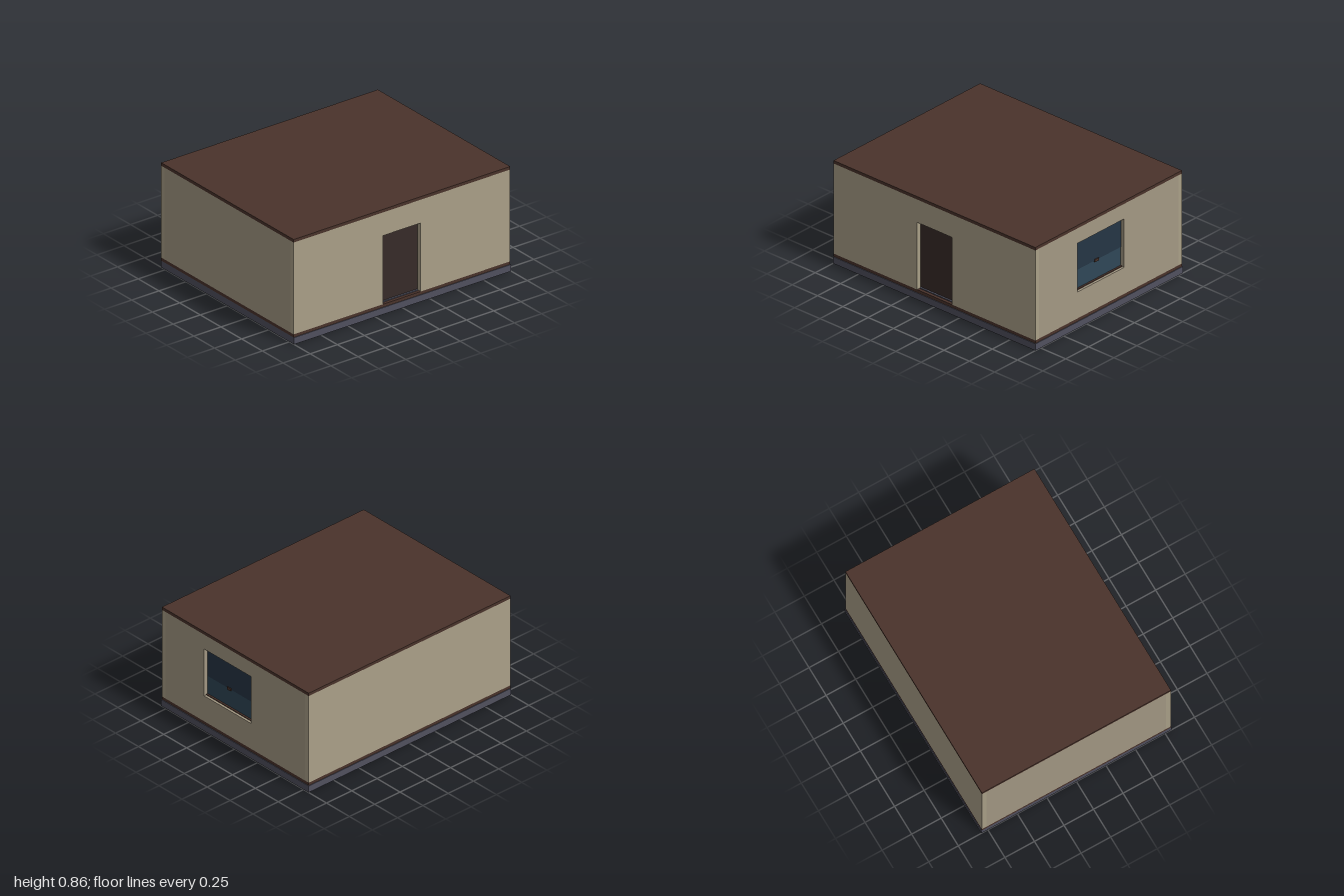
import * as THREE from 'three';

const mat = (color) => new THREE.MeshStandardMaterial({ color });
const wallMat = mat(0xaaa088), sideMat = mat(0xa39883), brownMat = mat(0x4a332b);
const baseMat = mat(0x50505e), doorMat = mat(0x372b28);
const glassTop = mat(0x253545), glassLow = mat(0x2f4757);

const X0 = -1, X1 = 0.995, Z = 0.8, T = 0.04, Y0 = 0.08, Y1 = 0.83;

export function createModel() {
  const model = new THREE.Group();
  const add = (name, geo, m) => {
    const mesh = new THREE.Mesh(geo, m);
    mesh.name = name;
    model.add(mesh);
    return mesh;
  };
  // Box given by its low and high corners
  const box = (name, m, [a, b, c], [d, e, f]) =>
    add(name, new THREE.BoxGeometry(d - a, e - b, f - c), m)
      .position.set((a + d) / 2, (b + e) / 2, (c + f) / 2);
  const rect = (a, b, c, d, Type = THREE.Shape) =>
    new Type([[a, b], [c, b], [c, d], [a, d]].map((p) => new THREE.Vector2(...p)));
  const panel = (shape) => new THREE.ExtrudeGeometry(shape, { depth: T, bevelEnabled: false });

  // Foundation, skirting course and flat roof
  box('foundation', baseMat, [-1, 0, -0.805], [1, 0.055, 0.805]);
  box('floorSlab', brownMat, [X0, 0.055, -Z], [X1, Y0, Z]);
  box('roof', brownMat, [X0, Y1, -Z], [X1, 0.855, Z]);

  // Front wall with the doorway cut out of its lower edge
  const front = new THREE.Shape([
    [X0, Y0], [-0.175, Y0], [-0.175, 0.64], [0.17, 0.64],
    [0.17, Y0], [X1, Y0], [X1, Y1], [X0, Y1],
  ].map((p) => new THREE.Vector2(...p)));
  add('frontWall', panel(front), wallMat).position.z = Z - T;
  box('backWall', wallMat, [X0, Y0, -Z], [X1, Y1, -Z + T]);
  box('rightSideWall', sideMat, [X0, Y0, -Z + T], [X0 + T, Y1, Z - T]);

  // Left wall with the window opening
  const side = rect(-Z + T, Y0, Z - T, Y1);
  side.holes.push(rect(-0.34, 0.3, 0.17, 0.705, THREE.Path));
  const sideWall = add('windowWall', panel(side), sideMat);
  sideWall.rotation.y = Math.PI / 2;
  sideWall.position.x = X1 - T;

  // Recessed door and threshold
  box('door', doorMat, [-0.175, Y0, Z - 0.06], [0.17, 0.635, Z - T]);
  box('threshold', baseMat, [-0.17, Y0, Z - T], [0.165, 0.087, Z - 0.025]);

  // Window sashes, thin head and sill strips, and latch
  const wx = X1 - 0.035;
  box('upperPane', glassTop, [wx - 0.02, 0.46, -0.17], [wx + 0.003, 0.705, 0.34]);
  box('lowerPane', glassLow, [wx - 0.02, 0.3, -0.17], [wx, 0.46, 0.34]);
  for (const [name, y] of [['windowSill', 0.3], ['windowHead', 0.699]])
    box(name, brownMat, [wx, y, -0.17], [wx + 0.015, y + 0.006, 0.34]);
  box('windowLatch', brownMat, [wx, 0.45, 0.08], [wx + 0.01, 0.472, 0.12]);

  return model;
}
